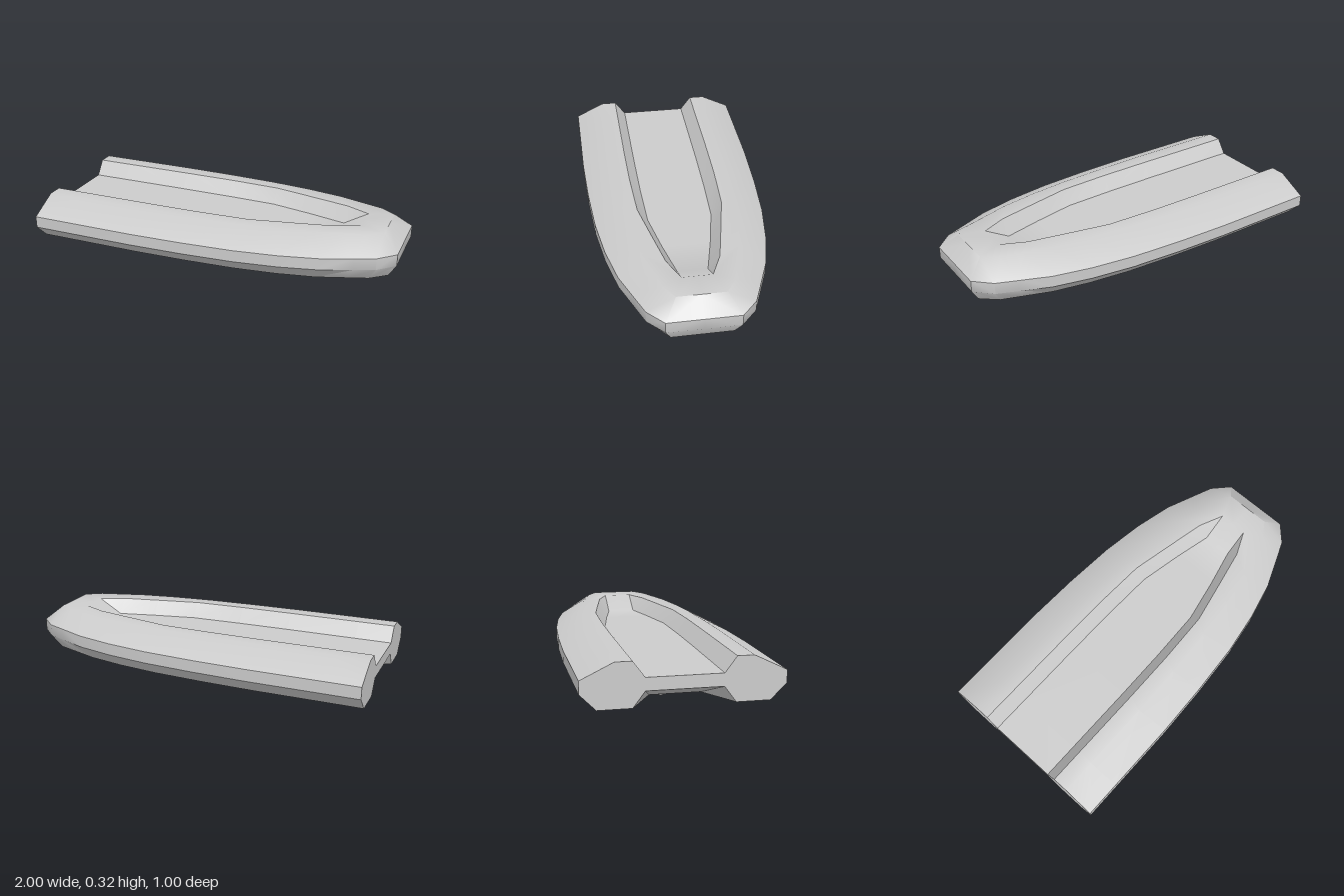
import * as THREE from 'three';
import { toCreasedNormals } from 'three/addons/utils/BufferGeometryUtils.js';

const material = new THREE.MeshStandardMaterial({ color: 0xcccccc });

// Stations from stern to bow: x and half width of the widest band
const X = [-1, -0.8, -0.4, -0.1, 0.19, 0.43, 0.64, 0.8, 0.91, 1];
const W = [0.5, 0.5, 0.5, 0.49, 0.47, 0.435, 0.385, 0.32, 0.275, 0.19];
// Half widths of the deck channel at its lip and floor
const LIP = [0.25, 0.25, 0.25, 0.247, 0.235, 0.185, 0.14, 0.08, 0.08, 0.08];
const FLOOR = [0.19, 0.19, 0.19, 0.187, 0.178, 0.13, 0.08, 0.08, 0.08, 0.08];

// A rail is a line of points along the hull, closed on the centreline at the bow
function rail(y, xAt, zAt) {
  const points = X.map((x, i) => [xAt(x), y, zAt(i)]);
  points.push([points.at(-1)[0], y, 0]);
  return points;
}

// Surface between two rails, mirrored to both sides of the hull
function strip(out, a, b) {
  const same = (p, q) => p.every((v, k) => Math.abs(v - q[k]) < 1e-6);
  const triangle = (p, q, r) => {
    if (same(p, q) || same(q, r) || same(p, r)) return;
    out.push(...p, ...q, ...r);
    for (const [x, y, z] of [p, r, q]) out.push(x, y, -z);
  };
  for (let i = 0; i < a.length - 1; i++) {
    triangle(a[i], a[i + 1], b[i + 1]);
    triangle(a[i], b[i + 1], b[i]);
  }
}

function meshFrom(positions, name) {
  const geometry = new THREE.BufferGeometry();
  geometry.setAttribute('position', new THREE.Float32BufferAttribute(positions, 3));
  const mesh = new THREE.Mesh(toCreasedNormals(geometry, 0.7), material);
  mesh.name = name;
  return mesh;
}

function createHull() {
  const shrink = (d) => (x) => x - d * (x + 1) / 2;
  const keep = (x) => x;
  const bottomX = (x) => (x <= -0.8 ? x : -0.8 + (x + 0.8) * 1.755 / 1.8);
  const lipX = (x) => Math.min(x, 0.775);
  const floorX = (x) => Math.min(x, 0.64);

  // Cross-section from the keel line, around the side, to the channel floor
  const rails = [
    rail(0.1, bottomX, (i) => (i === 0 ? 0.25 : 0.13)),
    rail(0.1, bottomX, (i) => W[i] * 0.84),
    rail(0.18, keep, (i) => W[i]),
    rail(0.245, keep, (i) => W[i]),
    rail(0.325, shrink(0.09), (i) => W[i] * 0.67),
    rail(0.325, lipX, (i) => LIP[i]),
    rail(0.245, floorX, (i) => FLOOR[i]),
    rail(0.245, floorX, () => 0),
  ];
  const shell = [];
  for (let i = 0; i < rails.length - 1; i++) strip(shell, rails[i], rails[i + 1]);

  // Middle of the bottom, ahead of the stern tunnel
  strip(shell, rails[0].slice(1).map(([x, y]) => [x, y, 0]), rails[0].slice(1));

  // Short sloping tunnel under the stern
  const tunnelCentre = [[-1, 0.18, 0], [-0.8, 0.1, 0]];
  const tunnelEdge = [[-1, 0.18, 0.19], [-0.8, 0.1, 0.13]];
  strip(shell, tunnelCentre, tunnelEdge);
  strip(shell, tunnelEdge, rails[0].slice(0, 2));

  // Flat stern face
  const lower = [[0, 0.18], [0.19, 0.18], [0.25, 0.1], [0.42, 0.1], [0.5, 0.18]];
  const upper = [[0, 0.245], [0.19, 0.245], [0.25, 0.325], [0.335, 0.325], [0.5, 0.245]];
  const stern = [];
  const atStern = ([z, y]) => [-1, y, z];
  strip(stern, lower.map(atStern), upper.map(atStern));

  const hull = new THREE.Group();
  hull.name = 'hull';
  hull.add(meshFrom(shell, 'hullShell'), meshFrom(stern, 'sternFace'));
  return hull;
}

export function createModel() {
  const model = new THREE.Group();
  model.name = 'boatHull';
  model.add(createHull());

  // Pyramid feet pointing down
  for (const x of [-0.5, 0.5]) {
    const geometry = new THREE.ConeGeometry(0.13 * Math.SQRT2, 0.1, 4, 1, true);
    geometry.rotateY(Math.PI / 4).rotateX(Math.PI);
    const foot = new THREE.Mesh(toCreasedNormals(geometry, 0.3), material);
    foot.name = x > 0 ? 'bowFoot' : 'sternFoot';
    foot.position.set(x, 0.05, 0);
    model.add(foot);
  }
  return model;
}
